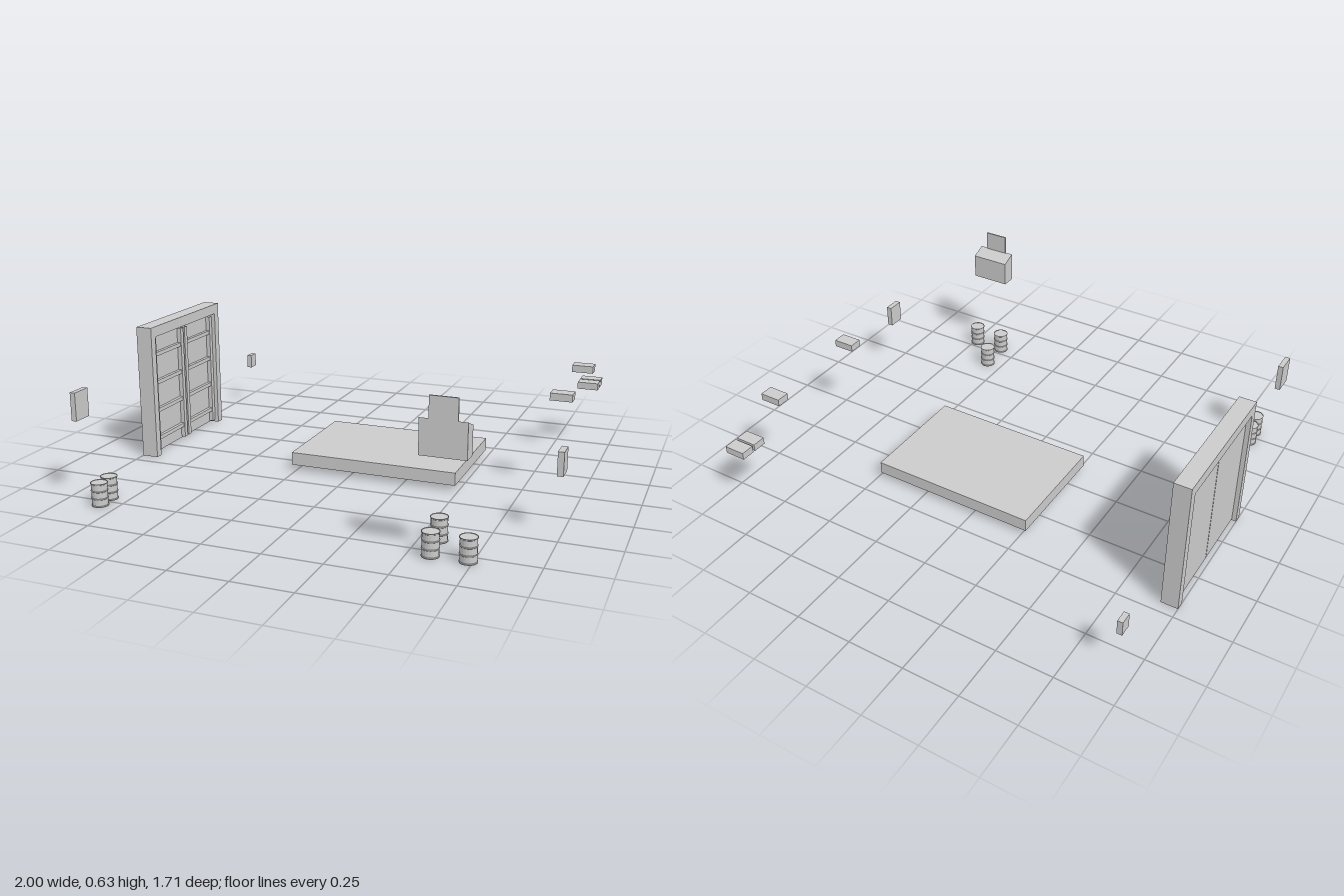
import * as THREE from 'three';

const material = new THREE.MeshStandardMaterial({ color: 0xcccccc, flatShading: true });

// Box given by its limits on each axis
function box(parent, name, [x0, x1], [y0, y1], [z0, z1]) {
  const mesh = new THREE.Mesh(new THREE.BoxGeometry(x1 - x0, y1 - y0, z1 - z0), material);
  mesh.position.set((x0 + x1) / 2, (y0 + y1) / 2, (z0 + z1) / 2);
  mesh.name = name;
  parent.add(mesh);
  return mesh;
}

function group(parent, name) {
  const g = new THREE.Group();
  g.name = name;
  parent.add(g);
  return g;
}

// Double door in a deep frame, ribbed on the +x side and plain on the other
function addDoorway(parent) {
  const door = group(parent, 'doorway');
  const depth = [-1, -0.925];
  box(door, 'frameTop', depth, [0.563, 0.61], [-0.45, 0.185]);
  box(door, 'frameJamb', depth, [0, 0.563], [0.15, 0.185]);
  box(door, 'frameJamb', depth, [0, 0.563], [-0.45, -0.412]);

  const centre = -0.131;
  for (const side of [-1, 1]) {
    const leaf = group(door, 'doorLeaf');
    const span = (a, b) => [centre + side * a, centre + side * b].sort((p, q) => p - q);
    box(leaf, 'doorPanel', [-0.98, -0.96], [0.006, 0.563], span(0.002, 0.281));
    box(leaf, 'innerStile', [-0.96, -0.94], [0.012, 0.55], span(0.006, 0.03));
    box(leaf, 'outerStile', [-0.96, -0.94], [0.012, 0.55], span(0.252, 0.275));
    for (let i = 0; i < 4; i++) {
      const y = 0.073 + i * 0.133;
      box(leaf, 'doorRail', [-0.96, -0.944], [y - 0.009, y + 0.009], span(0.03, 0.252));
    }
  }
}

// Drum with raised rims and two rolling hoops
function addDrums(parent) {
  const r = 0.033, R = 0.0355;
  const profile = [
    [0, 0], [R, 0], [R, 0.004], [r, 0.006],
    [r, 0.031], [R, 0.033], [R, 0.035], [r, 0.037],
    [r, 0.063], [R, 0.065], [R, 0.067], [r, 0.069],
    [r, 0.094], [R, 0.096], [R, 0.1], [r, 0.1], [r, 0.098], [0, 0.098],
  ].map(([x, y]) => new THREE.Vector2(x, y));
  const geometry = new THREE.LatheGeometry(profile, 20);
  const spots = [[-0.835, 0.713], [-0.829, 0.793], [0.578, 0.647], [0.589, 0.793], [0.733, 0.793]];
  for (const [x, z] of spots) {
    const drum = new THREE.Mesh(geometry, material);
    drum.name = 'drum';
    drum.position.set(x, 0, z);
    parent.add(drum);
  }
}

// Wall console with a sloping top and an upright screen behind it
function addConsole(parent) {
  const unit = group(parent, 'console');
  const side = new THREE.Shape([
    [-0.853, 0.405], [-0.787, 0.405], [-0.787, 0.518], [-0.853, 0.545],
  ].map(([u, v]) => new THREE.Vector2(u, v)));
  const geometry = new THREE.ExtrudeGeometry(side, { depth: 0.18, bevelEnabled: false });
  geometry.rotateY(Math.PI / 2); // profile runs along -z, extrusion along +x
  const body = new THREE.Mesh(geometry, material);
  body.name = 'consoleBody';
  body.position.x = 0.555;
  unit.add(body);
  box(unit, 'consoleScreen', [0.592, 0.7], [0.535, 0.63], [0.849, 0.856]);
}

export function createModel() {
  const model = new THREE.Group();
  model.name = 'storageRoomFittings';

  box(model, 'platform', [-0.27, 0.487], [0.025, 0.082], [-0.392, 0.12]);
  addDoorway(model);
  addDrums(model);
  addConsole(model);

  // Flat wall panels
  box(model, 'wallPanel', [-0.946, -0.923], [0.195, 0.26], [-0.853, -0.8]);
  box(model, 'wallPanel', [-0.946, -0.923], [0.345, 0.465], [0.695, 0.784]);
  box(model, 'wallPanel', [0.975, 1], [0.244, 0.342], [0.376, 0.451]);

  // Small storage boxes: z centre and base height
  for (const [z, y] of [[-0.827, 0.27], [-0.757, 0.27], [-0.579, 0.395], [-0.073, 0.395]]) {
    box(model, 'storageBox', [0.84, 0.935], [y, y + 0.032], [z - 0.03, z + 0.03]);
  }
  return model;
}
